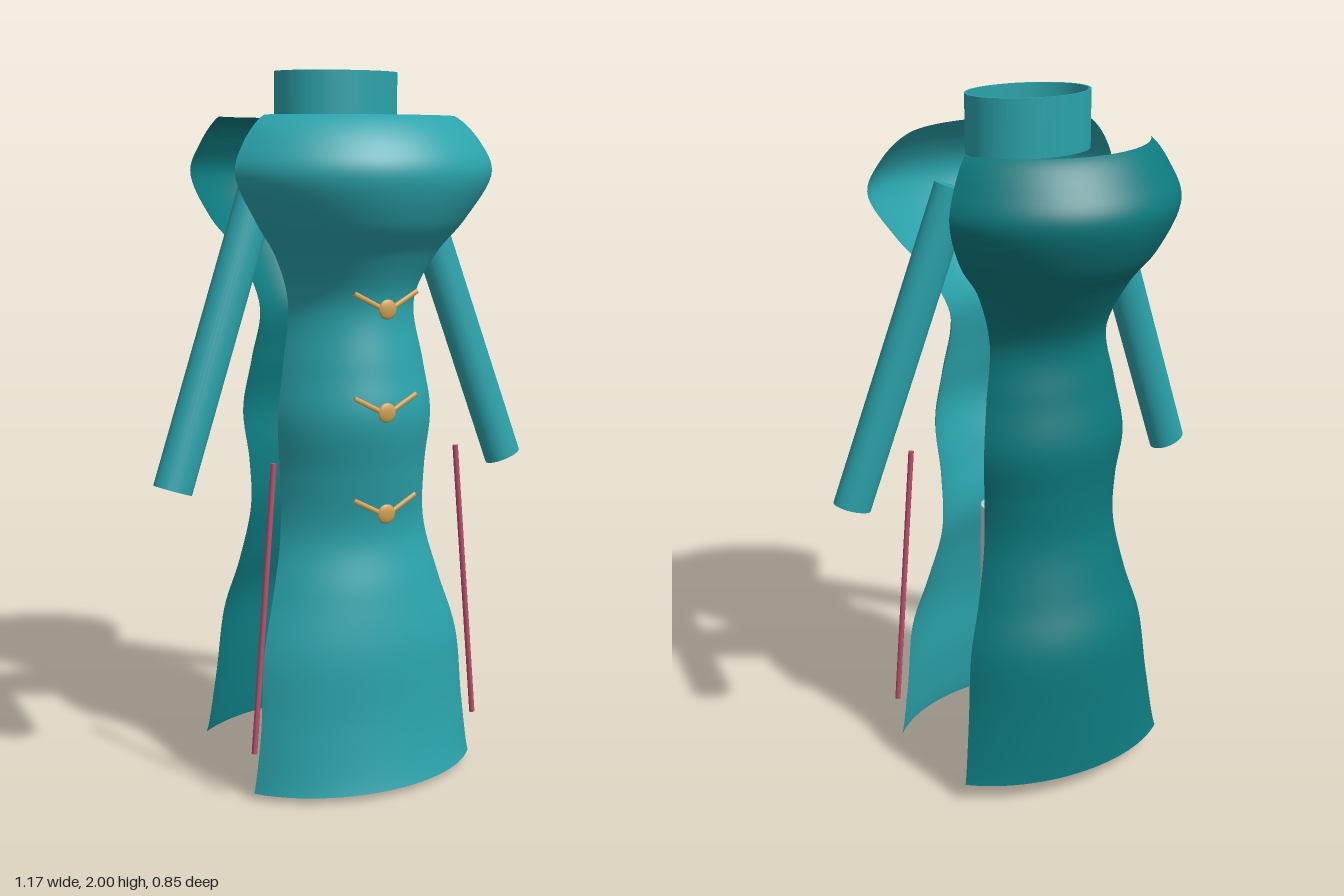
import * as THREE from 'three';

const paint = (color) => new THREE.MeshStandardMaterial({ color, side: THREE.DoubleSide });
const teal = paint(0x2aa3ab), darkTeal = paint(0x0d7a7e), gold = paint(0xd0a050), pink = paint(0xc0506c);
const grey = paint(0xcccccc);

// Height, half width, depth at the side edge, depth at the middle
const FRONT = [
  [1.88, 0.29, 0.167, 0.315], [1.81, 0.36, 0.19, 0.39], [1.72, 0.39, 0.203, 0.426], [1.6, 0.32, 0.177, 0.385],
  [1.5, 0.245, 0.14, 0.31], [1.37, 0.195, 0.105, 0.257], [1.2, 0.22, 0.12, 0.28], [1.06, 0.24, 0.13, 0.3],
  [0.9, 0.23, 0.12, 0.267], [0.73, 0.23, 0.12, 0.24], [0.57, 0.265, 0.147, 0.275], [0.4, 0.31, 0.177, 0.305],
  [0.2, 0.325, 0.19, 0.317], [0.02, 0.35, 0.193, 0.347],
];
const BACK = [
  [1.88, 0.28, 0.16, 0.325], [1.81, 0.325, 0.188, 0.385], [1.72, 0.35, 0.206, 0.422], [1.6, 0.305, 0.172, 0.375],
  [1.5, 0.235, 0.14, 0.295], [1.35, 0.185, 0.105, 0.205], [1.2, 0.205, 0.12, 0.215], [1.05, 0.225, 0.14, 0.24],
  [0.9, 0.215, 0.12, 0.225], [0.76, 0.215, 0.115, 0.222], [0.6, 0.245, 0.135, 0.257], [0.45, 0.285, 0.16, 0.3],
  [0.25, 0.305, 0.178, 0.305], [0.06, 0.33, 0.2, 0.31],
];

// Curved cloth sheet: elliptical arcs stacked along a smooth profile
function panel(rows, sign, material, name) {
  const U = 40, V = 90;
  const heights = new THREE.SplineCurve(rows.map((r, i) => new THREE.Vector2(i, r[0])));
  const sizes = new THREE.CatmullRomCurve3(rows.map((r) => new THREE.Vector3(r[1], r[2], r[3])), false, 'catmullrom', 0.5);
  const pos = [], index = [];
  for (let j = 0; j <= V; j++) {
    const y = heights.getPoint(j / V).y, s = sizes.getPoint(j / V);
    const half = Math.acos(s.y / s.z);
    for (let i = 0; i <= U; i++) {
      const a = half * (2 * i / U - 1);
      pos.push(sign * s.x * Math.sin(a) / Math.sin(half), y, sign * s.z * Math.cos(a));
      if (i < U && j < V) {
        const p = j * (U + 1) + i, q = p + U + 1;
        index.push(p, q, p + 1, p + 1, q, q + 1);
      }
    }
  }
  const g = new THREE.BufferGeometry();
  g.setAttribute('position', new THREE.Float32BufferAttribute(pos, 3));
  g.setIndex(index);
  g.computeVertexNormals();
  return named(new THREE.Mesh(g, material), name);
}

function named(object, name) {
  object.name = name;
  return object;
}

// Round bar between two points, optionally flattened in depth
function bar(from, to, r, material, name, flat = 1, sides = 32) {
  const a = new THREE.Vector3(...from), b = new THREE.Vector3(...to);
  const mesh = new THREE.Mesh(new THREE.CylinderGeometry(r, r, a.distanceTo(b), sides), material);
  mesh.scale.z = flat;
  mesh.position.copy(a).add(b).multiplyScalar(0.5);
  mesh.quaternion.setFromUnitVectors(new THREE.Vector3(0, 1, 0), b.sub(a).normalize());
  return named(mesh, name);
}

// Knot with two slanted arms
function clasp(y) {
  const group = named(new THREE.Group(), 'clasp');
  const knot = named(new THREE.Mesh(new THREE.SphereGeometry(0.027, 20, 14), gold), 'claspKnot');
  knot.scale.z = 0.3;
  group.add(knot);
  for (const s of [-1, 1]) group.add(bar([0, -0.005, 0], [s * 0.095, 0.045, -0.008], 0.007, gold, 'claspArm', 0.7, 10));
  group.position.set(0, y, 0.312);
  return group;
}

export function createModel() {
  const model = named(new THREE.Group(), 'dress');
  model.add(panel(FRONT, 1, teal, 'frontPanel'), panel(BACK, -1, darkTeal, 'backPanel'));

  // Standing collar: thin oval ring, open through the middle
  const ring = [[0.172, 1.842], [0.18, 1.842], [0.18, 2], [0.172, 2], [0.172, 1.842]];
  const points = ring.flatMap(([x, y], i) => (i % 4 ? [[x, y], [x, y]] : [[x, y]])).map((p) => new THREE.Vector2(...p));
  const collarGeometry = new THREE.LatheGeometry(points, 64).toNonIndexed();
  const collar = named(new THREE.Mesh(collarGeometry, teal), 'collar');
  collar.scale.z = 0.72;
  collar.position.z = 0.011;
  model.add(collar);

  // Sleeves, legs and slit trims, mirrored
  for (const s of [-1, 1]) {
    const side = s > 0 ? 'left' : 'right';
    model.add(bar([s * 0.53, 0.882, 0.076], [s * 0.22, 1.762, 0.024], 0.056, teal, side + 'Sleeve', 0.77));
    model.add(bar([s * 0.107, 0.003, 0.015], [s * 0.092, 0.82, 0.01], 0.059, grey, side + 'Leg'));
    model.add(bar([s * 0.354, 0.145, 0.207], [s * 0.286, 0.957, 0.201], 0.008, pink, side + 'SlitTrim', 1, 10));
  }

  // Clasps down the front
  for (let i = 0; i < 4; i++) model.add(clasp(0.81 + i * 0.28));
  return model;
}
